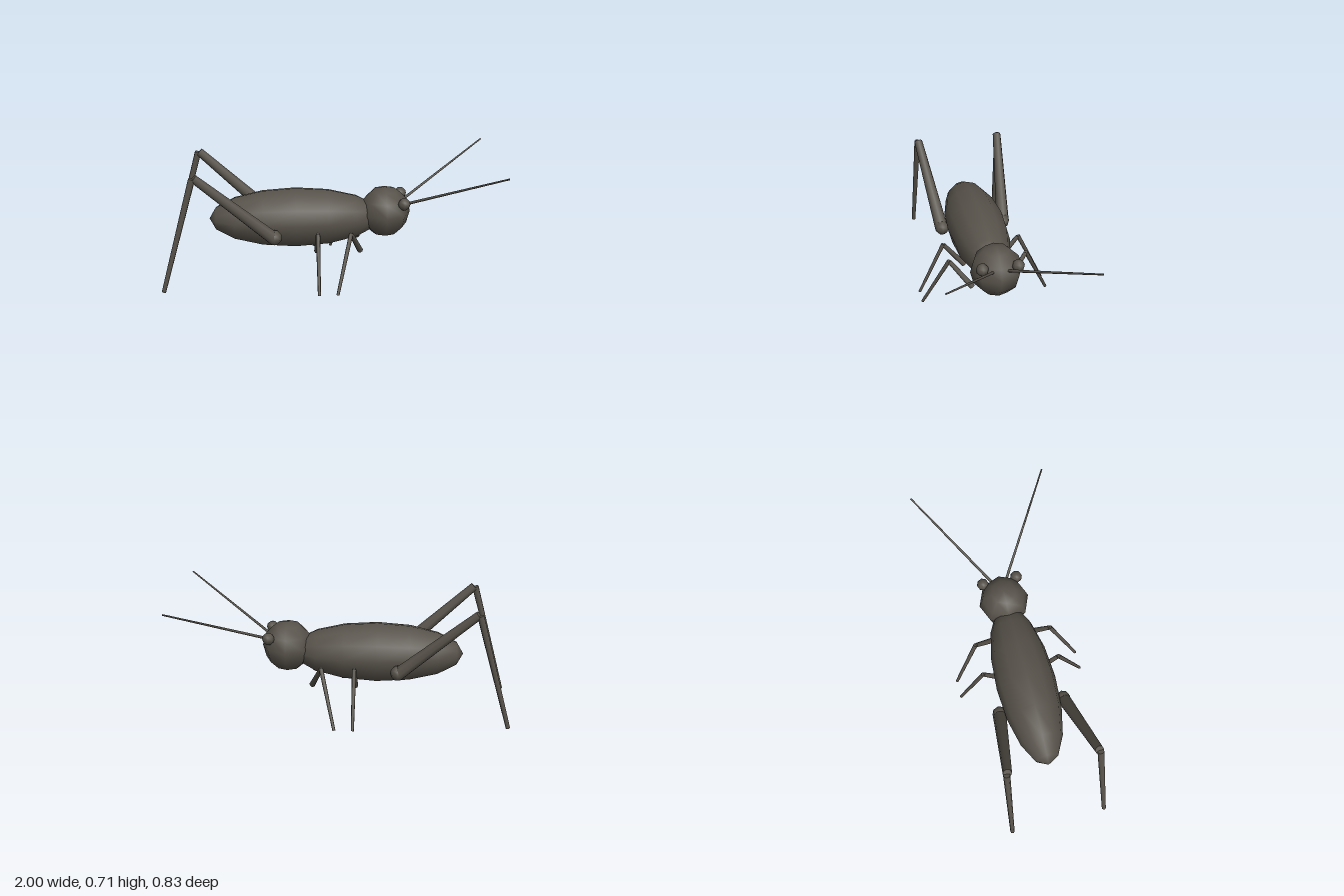
import * as THREE from 'three';

const shell = new THREE.MeshStandardMaterial({ color: 0x57524a });
shell.name = 'darkShell';

export function createModel() {
  const model = new THREE.Group();
  model.name = 'cricket';

  const add = (name, geometry) => {
    const mesh = new THREE.Mesh(geometry, shell);
    mesh.name = name;
    model.add(mesh);
    return mesh;
  };

  const ball = (name, [x, y, z], r, w = 8, h = 6) => {
    const mesh = add(name, new THREE.SphereGeometry(r, w, h));
    mesh.position.set(x, y, z);
    return mesh;
  };

  // Tapered rod from point a (radius ra) to point b (radius rb)
  const rod = (name, a, b, ra, rb, sides = 8) => {
    const start = new THREE.Vector3(...a);
    const end = new THREE.Vector3(...b);
    const dir = end.clone().sub(start);
    const mesh = add(name, new THREE.CylinderGeometry(rb, ra, dir.length(), sides));
    mesh.position.copy(start).add(end).multiplyScalar(0.5);
    mesh.quaternion.setFromUnitVectors(new THREE.Vector3(0, 1, 0), dir.normalize());
    return mesh;
  };

  // Long body with its poles at head and tail
  const bodyShape = new THREE.SphereGeometry(1, 12, 8);
  bodyShape.rotateZ(-Math.PI / 2);
  bodyShape.scale(0.52, 0.181, 0.181);
  add('body', bodyShape).position.set(-0.2, 0.353, 0);

  ball('head', [0.342, 0.38, 0], 0.154);

  for (const s of [1, -1]) {
    const side = s > 0 ? 'Near' : 'Far';

    // Eye and antenna
    ball('eye' + side, [0.447, 0.457, 0.105 * s], 0.037);
    rod('antenna' + side, [0.457, 0.436, 0.046 * s], [0.996, 0.706, 0.41 * s], 0.009, 0.005, 6);

    // Large jumping leg
    ball('hip' + side, [-0.33, 0.297, 0.197 * s], 0.045);
    rod('hindThigh' + side, [-0.335, 0.295, 0.2 * s], [-0.785, 0.695, 0.262 * s], 0.041, 0.026);
    rod('hindShin' + side, [-0.792, 0.692, 0.268 * s], [-0.985, 0.004, 0.288 * s], 0.02, 0.013);

    // Small walking legs: x of root, knee and foot
    const legs = { front: [0.185, 0.12, 0.033], middle: [-0.075, -0.075, -0.075] };
    for (const [name, [root, knee, foot]] of Object.entries(legs)) {
      rod(name + 'Thigh' + side, [root, 0.17, 0.108 * s], [knee, 0.326, 0.234 * s], 0.018, 0.013);
      rod(name + 'Shin' + side, [knee, 0.33, 0.236 * s], [foot, 0.004, 0.391 * s], 0.013, 0.009);
    }
  }
  return model;
}
